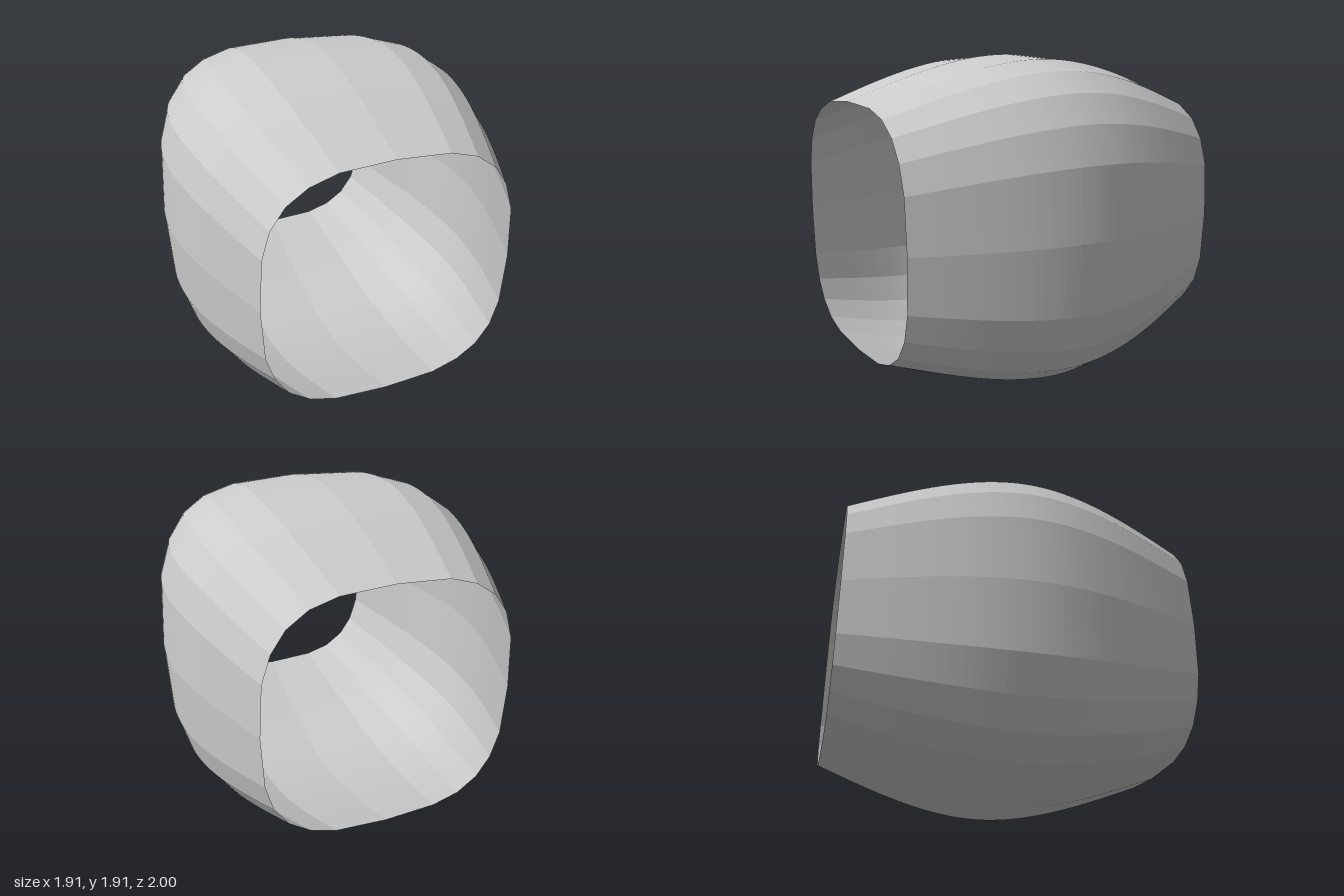
import * as THREE from 'three';

const CENTER_Y = 0.956;
const STEPS = 48;

// One quarter of the rounded-square section, from the top to the model's left
const QUARTER = [[0, 0.953], [0.4, 0.93], [0.605, 0.87], [0.76, 0.76], [0.865, 0.605], [0.93, 0.4]];

// Full closed section: the quarter turned four times, clockwise seen from the front
function sectionPoints() {
  const points = [];
  for (let turn = 0; turn < 4; turn++) {
    for (const [px, py] of QUARTER) {
      let x = px, y = py;
      for (let i = 0; i < turn; i++) [x, y] = [y, -x];
      points.push([x, y]);
    }
  }
  return points;
}

// Barrel bulge: widest in the middle, running out almost straight at the ends
function bulge(z) {
  const d = Math.abs(z);
  return 1 - 0.258 * (1.5 * d * d - 0.5 * d * d * d);
}

function barrelGeometry() {
  const section = sectionPoints();
  const n = section.length;
  const positions = [], indices = [];
  for (let k = 0; k <= STEPS; k++) {
    const z = -1 + (2 * k) / STEPS;
    const s = bulge(z);
    for (const [x, y] of section) positions.push(x * s, CENTER_Y + y * s, z);
  }
  for (let k = 0; k < STEPS; k++) {
    for (let i = 0; i < n; i++) {
      const a = k * n + i, b = k * n + ((i + 1) % n);
      indices.push(a, a + n, b, b, a + n, b + n);
    }
  }
  const geometry = new THREE.BufferGeometry();
  geometry.setAttribute('position', new THREE.Float32BufferAttribute(positions, 3));
  geometry.setIndex(indices);
  geometry.computeVertexNormals();
  return geometry;
}

export function createModel() {
  const group = new THREE.Group();
  group.name = 'openBarrel';
  // Thin open shell with faceted sides
  const material = new THREE.MeshStandardMaterial({
    color: 0xcccccc, flatShading: true, side: THREE.DoubleSide,
  });
  const shell = new THREE.Mesh(barrelGeometry(), material);
  shell.name = 'barrelShell';
  group.add(shell);
  return group;
}
